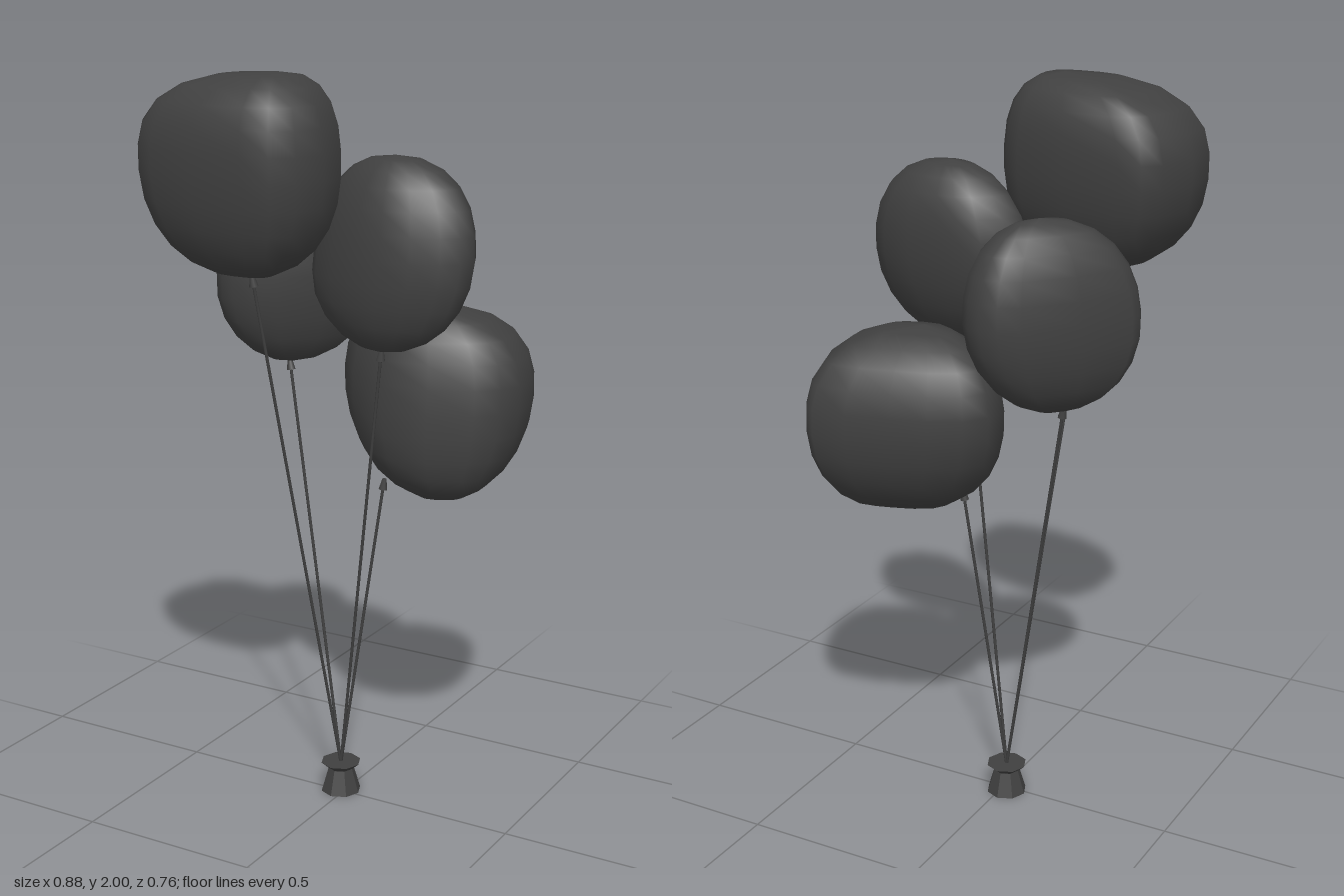
import * as THREE from 'three';

const SIDES = 16, LEVELS = 12;

const charcoal = new THREE.MeshStandardMaterial({ color: 0x404040 });
charcoal.name = 'charcoal';

function add(parent, name, geometry) {
  const mesh = new THREE.Mesh(geometry, charcoal);
  mesh.name = name;
  parent.add(mesh);
  return mesh;
}

// A lopsided balloon. outline: seen from above [x, z]; top and bottom: its poles;
// girth: heights at which it is widest towards -x, +x, -z and +z; round: fullness of upper and lower half
function balloonGeometry(outline, top, bottom, girth, round) {
  const curve = new THREE.CatmullRomCurve3(outline.map(([x, z]) => new THREE.Vector3(x, 0, z)), true);
  const plan = curve.getPoints(SIDES).slice(0, SIDES);
  const box = new THREE.Box3().setFromPoints(plan);
  const size = box.getSize(new THREE.Vector3());

  // Position of one side at height y: a superellipse arc from pole to girth to pole
  const reach = (axis, extreme, widest, y) => {
    const half = y > widest ? 0 : 1;
    const pole = [top, bottom][half], p = round[half];
    const t = Math.min(1, (y - widest) / (pole[1] - widest));
    return pole[axis] + (extreme - pole[axis]) * (1 - t ** p) ** (1 / p);
  };

  const positions = [], index = [];
  for (let k = 0; k <= LEVELS; k++) {
    const y = THREE.MathUtils.lerp(bottom[1], top[1], (1 + Math.cos(Math.PI * k / LEVELS)) / 2);
    const x0 = reach(0, box.min.x, girth[0], y), x1 = reach(0, box.max.x, girth[1], y);
    const z0 = reach(2, box.min.z, girth[2], y), z1 = reach(2, box.max.z, girth[3], y);
    plan.forEach((p, i) => {
      positions.push(
        x0 + (x1 - x0) * (p.x - box.min.x) / size.x, y,
        z0 + (z1 - z0) * (p.z - box.min.z) / size.z);
      if (k === LEVELS) return;
      const a = k * SIDES + i, b = k * SIDES + (i + 1) % SIDES;
      if (k > 0) index.push(a, b, a + SIDES);
      if (k < LEVELS - 1) index.push(b, b + SIDES, a + SIDES);
    });
  }
  const geometry = new THREE.BufferGeometry();
  geometry.setAttribute('position', new THREE.Float32BufferAttribute(positions, 3));
  geometry.setIndex(index);
  geometry.computeVertexNormals();
  return geometry;
}

// Balloon with its knot and the string down to the weight
function addBalloon(model, name, knotAt, geometry) {
  const group = new THREE.Group();
  group.name = name;
  model.add(group);
  add(group, 'balloon', geometry);

  const start = new THREE.Vector3(-0.015, 0.08, -0.01);
  const end = new THREE.Vector3(...knotAt);
  const length = start.distanceTo(end);
  const direction = end.clone().sub(start).normalize();

  const string = add(group, 'string', new THREE.CylinderGeometry(0.004, 0.004, length, 6));
  string.position.lerpVectors(start, end, 0.5);
  string.quaternion.setFromUnitVectors(new THREE.Vector3(0, 1, 0), direction);

  const knot = add(group, 'knot', new THREE.CylinderGeometry(0.006, 0.012, 0.03, 8));
  knot.position.copy(end).addScaledVector(direction, -0.008);
  knot.quaternion.copy(string.quaternion);
}

// Faceted ring of the weight
function addFaceted(parent, name, topRadius, bottomRadius, height, y) {
  const geometry = new THREE.CylinderGeometry(topRadius, bottomRadius, height, 8).toNonIndexed();
  geometry.computeVertexNormals();
  add(parent, name, geometry).position.y = y;
}

export function createModel() {
  const model = new THREE.Group();
  model.name = 'balloonBunch';

  // Weight: tapered cup with a flared rim
  const weight = new THREE.Group();
  weight.name = 'weight';
  weight.position.set(-0.015, 0, -0.01);
  model.add(weight);
  addFaceted(weight, 'weightBody', 0.036, 0.056, 0.068, 0.034);
  addFaceted(weight, 'weightRim', 0.056, 0.034, 0.019, 0.0765);

  addBalloon(model, 'topBalloon', [-0.13, 1.49, 0.235], balloonGeometry(
    [[-0.44, 0.28], [-0.4, 0.08], [-0.3, 0.03], [0, 0.07], [0.08, 0.15], [0.06, 0.33], [-0.07, 0.38], [-0.35, 0.355]],
    [-0.07, 2, 0.2], [-0.14, 1.49, 0.24], [1.78, 1.76, 1.81, 1.79], [2.6, 2.2]));

  addBalloon(model, 'rightBalloon', [-0.215, 1.2, -0.08], balloonGeometry(
    [[-0.38, -0.03], [-0.2, -0.28], [-0.1, -0.315], [-0.03, -0.27], [-0.02, -0.2], [-0.18, 0.03], [-0.3, 0.07], [-0.37, 0.04]],
    [-0.17, 1.7, -0.13], [-0.21, 1.2, -0.09], [1.42, 1.47, 1.45, 1.42], [2.2, 2]));

  addBalloon(model, 'leftBalloon', [0.145, 1.295, 0.06], balloonGeometry(
    [[-0.09, 0], [0, -0.1], [0.12, -0.12], [0.3, -0.095], [0.39, 0.03], [0.33, 0.1], [0.18, 0.148], [0.02, 0.1]],
    [0.15, 1.79, 0], [0.145, 1.295, 0.06], [1.48, 1.54, 1.61, 1.49], [2.3, 2]));

  addBalloon(model, 'lowBalloon', [0.09, 0.91, -0.06], balloonGeometry(
    [[0.35, -0.38], [0.4, -0.33], [0.44, -0.15], [0.36, -0.045], [0.12, 0.02], [-0.08, -0.14], [-0.03, -0.27], [0.15, -0.34]],
    [0.16, 1.385, -0.13], [0.24, 0.87, -0.11], [1.18, 1.16, 1.14, 1.04], [2.4, 2.1]));

  return model;
}
